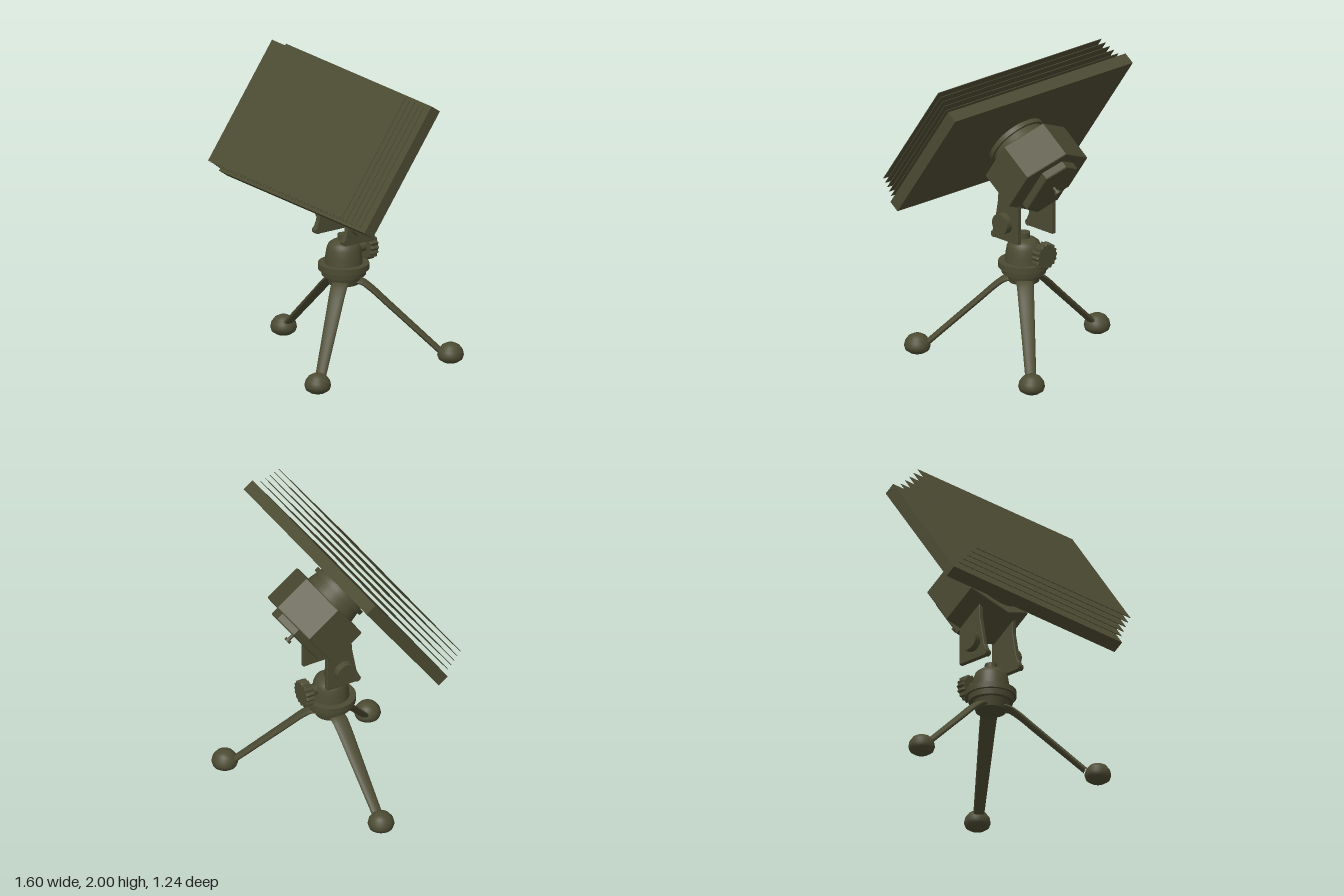
import * as THREE from 'three';

export function createModel() {
  const model = new THREE.Group();
  const olive = new THREE.MeshStandardMaterial({ color: 0x4c4b33 });
  olive.name = 'olive';

  const add = (parent, name, geometry, x = 0, y = 0, z = 0) => {
    const mesh = new THREE.Mesh(geometry, olive);
    mesh.name = name;
    mesh.position.set(x, y, z);
    parent.add(mesh);
    return mesh;
  };
  const points = (list) => list.map(([a, b]) => new THREE.Vector2(a, b));
  const lathe = (list, n = 40) => new THREE.LatheGeometry(points(list), n);
  // Bevelled prism whose back face lies at z = 0
  const prism = (list, depth, bevel = 0) => {
    const g = new THREE.ExtrudeGeometry(new THREE.Shape(points(list)), {
      depth: depth - 2 * bevel, bevelEnabled: bevel > 0, bevelSize: bevel,
      bevelOffset: -bevel, bevelThickness: bevel, bevelSegments: 2,
    });
    return g.translate(0, 0, bevel);
  };
  const cylinder = (r1, r2, length, axis) => {
    const g = new THREE.CylinderGeometry(r1, r2, length, 36);
    if (axis === 'z') g.rotateX(Math.PI / 2);
    if (axis === 'x') g.rotateZ(Math.PI / 2);
    return g;
  };

  // Tilted head: local z is the direction the panel faces
  const head = new THREE.Group();
  head.name = 'tiltedHead';
  head.position.set(0, 1.426, -0.006);
  head.rotation.x = -0.617;
  model.add(head);

  add(head, 'backPanel', new THREE.BoxGeometry(1.6, 0.935, 0.082), 0, 0.008, 0.154);
  for (let i = 0; i < 5; i++) {
    add(head, 'frontSheet', new THREE.BoxGeometry(2 * (0.775 - 0.01 * i), 0.89, 0.004),
      0, 0, 0.228 + 0.035 * i);
  }
  add(head, 'neck', cylinder(0.18, 0.2, 0.12, 'z'), 0, 0, 0.055);
  add(head, 'neckRing', cylinder(0.207, 0.207, 0.03, 'z'), 0, 0, 0.085);

  // Six-sided housing with a raised rear cover
  add(head, 'housing', prism([[0, 0.2925], [-0.27, 0.15], [-0.27, -0.15],
    [0, -0.2925], [0.27, -0.15], [0.27, 0.15]], 0.275, 0.008), 0, 0, -0.275);
  add(head, 'rearCover', prism([[0, 0.22], [-0.14, 0.15], [-0.14, -0.17],
    [0, -0.25], [0.14, -0.17], [0.14, 0.15]], 0.07, 0.01), 0, 0, -0.33);
  add(head, 'rearStem', cylinder(0.011, 0.011, 0.05, 'z'), 0, 0.01, -0.345);
  add(head, 'rearButton', cylinder(0.022, 0.022, 0.02, 'z'), 0, 0.01, -0.375);

  // Pivot bracket: shape drawn in (z, y), then turned to face sideways
  const arm = prism([[0.105, 0.845], [0.128, 0.87], [0.1, 0.93], [0.065, 1.12],
    [0.06, 1.25], [-0.12, 1.25], [-0.12, 0.845]], 0.034, 0.005);
  arm.rotateY(-Math.PI / 2);
  for (const side of [-1, 1]) {
    add(model, 'bracketArm', arm, side * 0.155 + 0.017, 0, 0);
    add(model, 'pivotKnob', cylinder(0.07, 0.07, 0.05, 'x'), side * 0.195, 0.97, 0);
    add(model, 'bracketPin', cylinder(0.022, 0.022, 0.042, 'x'), side * 0.155, 0.868, 0.105);
  }

  // Turned tripod head
  add(model, 'post', cylinder(0.04, 0.04, 0.07), 0, 0.83, 0);
  add(model, 'tripodDome', lathe([[0.125, 0.66], [0.12, 0.72], [0.112, 0.77],
    [0.1, 0.8], [0.075, 0.818], [0.04, 0.827], [0, 0.828]]));
  add(model, 'tripodFlange', cylinder(0.167, 0.167, 0.04), 0, 0.65, 0);
  add(model, 'tripodCollar', cylinder(0.15, 0.145, 0.04), 0, 0.612, 0);
  add(model, 'tripodHub', cylinder(0.12, 0.1, 0.07), 0, 0.565, 0);

  // Fluted tightening knob at the back
  const flutes = [];
  for (let i = 0; i < 32; i++) {
    const a = (i / 32) * Math.PI * 2, r = i % 2 ? 0.08 : 0.092;
    flutes.push([r * Math.cos(a), r * Math.sin(a)]);
  }
  add(model, 'knobShaft', cylinder(0.033, 0.033, 0.1, 'z'), 0, 0.75, -0.13);
  add(model, 'tighteningKnob', prism(flutes, 0.06, 0.006), 0, 0.75, -0.222);

  // Flat tapering leg: a bent tube widened sideways
  const path = new THREE.CatmullRomCurve3([[0, 0.545], [0.11, 0.545], [0.165, 0.51],
    [0.3, 0.385], [0.62, 0.085]].map(([x, y]) => new THREE.Vector3(x, y, 0)), false, 'centripetal');
  const leg = new THREE.TubeGeometry(path, 40, 0.019, 16);
  const p = leg.attributes.position;
  for (let i = 0; i < p.count; i++) p.setZ(i, p.getZ(i) * (3.2 - 2.1 * p.getX(i)));
  leg.computeVertexNormals();
  const foot = lathe([[0, 0], [0.05, 0.006], [0.078, 0.025], [0.087, 0.052],
    [0.08, 0.085], [0.058, 0.115], [0.03, 0.13], [0, 0.132]]);
  for (const [x, z] of [[-0.66, 0], [0.445, 0.535], [0.445, -0.535]]) {
    const limb = new THREE.Group();
    limb.name = 'tripodLeg';
    limb.rotation.y = Math.atan2(-z, x);
    add(limb, 'leg', leg);
    add(limb, 'foot', foot, Math.hypot(x, z), 0, 0);
    model.add(limb);
  }
  return model;
}
